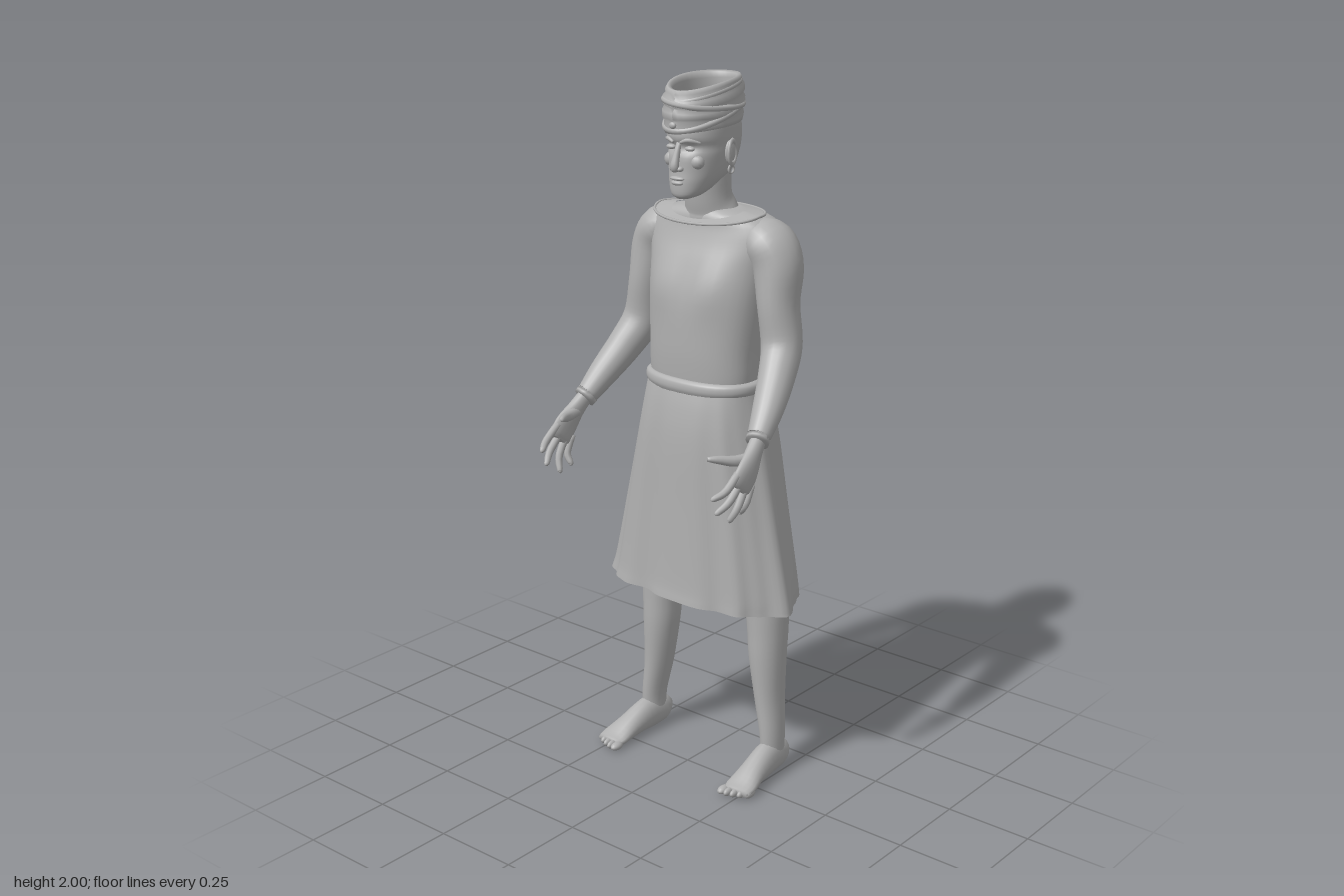
import * as THREE from 'three';

const V = (x, y, z) => new THREE.Vector3(x, y, z);
const bump = (d, w) => Math.exp(-((d / w) ** 2));

// Skin over a stack of closed rings, with optional caps
function skin(rings, capped = true) {
  const n = rings[0].length, pos = [], idx = [];
  rings.forEach(r => r.forEach(p => pos.push(p.x, p.y, p.z)));
  for (let i = 0; i < rings.length - 1; i++) for (let j = 0; j < n; j++) {
    const a = i * n + j, b = i * n + (j + 1) % n;
    idx.push(a, a + n, b, b, a + n, b + n);
  }
  if (capped) [0, rings.length - 1].forEach((k, end) => {
    const c = V(0, 0, 0);
    rings[k].forEach(p => c.addScaledVector(p, 1 / n));
    const ci = pos.length / 3;
    pos.push(c.x, c.y, c.z);
    for (let j = 0; j < n; j++) {
      const a = k * n + j, b = k * n + (j + 1) % n;
      end ? idx.push(ci, b, a) : idx.push(ci, a, b);
    }
  });
  const g = new THREE.BufferGeometry();
  g.setAttribute('position', new THREE.Float32BufferAttribute(pos, 3));
  g.setIndex(idx);
  g.computeVertexNormals();
  return g;
}

// Level rings from rows of [y, half width, front z, back z]
function body(rows, { steps = 24, n = 40, power = 1, rule, capped = true } = {}) {
  const c1 = new THREE.CatmullRomCurve3(rows.map(r => V(r[0], r[1], 0)));
  const c2 = new THREE.CatmullRomCurve3(rows.map(r => V(r[2], r[3], 0)));
  c1.curveType = c2.curveType = 'catmullrom';
  const pw = v => Math.sign(v) * Math.abs(v) ** power;
  const rings = [];
  for (let i = 0; i <= steps; i++) {
    const t = i / steps, a = c1.getPoint(t), b = c2.getPoint(t), ring = [];
    for (let j = 0; j < n; j++) {
      const w = j / n * Math.PI * 2;
      const p = V(a.y * pw(Math.cos(w)), a.x, (b.x + b.y) / 2 + (b.x - b.y) / 2 * pw(Math.sin(w)));
      if (rule) rule(p, t, w);
      ring.push(p);
    }
    rings.push(ring);
  }
  return skin(rings, capped);
}

// Limb along points of [x, y, z, radius along ref, other radius]; side mirrors x
function limb(pts, side = 1, { steps = 20, n = 16, ref = V(1, 0, 0) } = {}) {
  const path = new THREE.CatmullRomCurve3(pts.map(p => V(p[0] * side, p[1], p[2])), false, 'catmullrom');
  const size = new THREE.CatmullRomCurve3(pts.map(p => V(p[3], p[4] ?? p[3], 0)), false, 'catmullrom');
  const rings = [];
  for (let i = 0; i <= steps; i++) {
    const t = i / steps, c = path.getPoint(t), r = size.getPoint(t), T = path.getTangent(t);
    const u = ref.clone().addScaledVector(T, -ref.dot(T)).normalize();
    const v = u.clone().cross(T);
    rings.push(Array.from({ length: n }, (_, j) => {
      const w = j / n * Math.PI * 2;
      return c.clone().addScaledVector(u, r.x * Math.cos(w)).addScaledVector(v, r.y * Math.sin(w));
    }));
  }
  return skin(rings);
}

const blob = (x, y, z, rx, ry, rz) =>
  new THREE.SphereGeometry(1, 14, 10).scale(rx, ry, rz).translate(x, y, z);

export function createModel() {
  const model = new THREE.Group();
  const grey = new THREE.MeshStandardMaterial({ color: 0xb0b0b0, side: THREE.DoubleSide });
  grey.name = 'grey';
  const add = (name, geo) => {
    const m = new THREE.Mesh(geo, grey);
    m.name = name;
    model.add(m);
    return m;
  };

  // Shirt body with chest and spine modelling
  add('torso', body([
    [1.15, .165, .025, -.185], [1.2, .168, .03, -.18], [1.28, .17, .033, -.195], [1.4, .182, .028, -.232],
    [1.5, .195, .003, -.236], [1.56, .21, -.018, -.236], [1.6, .205, -.03, -.23],
    [1.63, .165, -.035, -.208], [1.65, .075, -.045, -.165],
  ], {
    steps: 32, power: .85, rule: (p, t, w) => {
      const fade = bump(p.y - 1.42, .15);
      if (Math.sin(w) < 0) p.z += .022 * bump(p.x, .04) * fade;
      else p.z += .012 * bump(Math.abs(p.x) - .08, .05) * bump(p.y - 1.45, .07);
    },
  }));

  // Loose neckline: thin sheet with a rolled edge
  const neckRing = (rx, zf, zb, lift) => Array.from({ length: 36 }, (_, j) => {
    const w = j / 36 * Math.PI * 2, s = Math.sin(w);
    return V(rx * Math.cos(w), 1.644 + lift - .02 * Math.max(0, s), (zf + zb) / 2 + (zf - zb) / 2 * s);
  });
  add('neckline', skin([neckRing(.172, .016, -.2, -.004), neckRing(.115, -.012, -.17, .003)], false));
  add('necklineEdge', new THREE.TubeGeometry(
    new THREE.CatmullRomCurve3(neckRing(.172, .016, -.2, -.004), true), 60, .004, 6, true));

  // Skirt flaring to a wavy hem
  add('skirt', body([
    [1.175, .172, .03, -.19], [1.1, .188, .046, -.228], [1, .208, .055, -.245],
    [.8, .248, .058, -.25], [.6, .288, .062, -.258], [.54, .3, .066, -.262],
  ], {
    steps: 26, n: 96, power: .8, capped: false, rule: (p, t, w) => {
      const k = t * (.035 * Math.sin(9 * w + .6) + .03 * Math.sin(5 * w + 1) + .015 * Math.sin(16 * w));
      p.x *= 1 + k;
      p.z += (p.z + .1) * k * 1.2;
      p.x -= .012 * t * t;
      p.y -= .012 * t * t * Math.abs(Math.cos(w));
    },
  }));
  add('waistband', body([
    [1.145, .174, .036, -.205], [1.16, .183, .042, -.21], [1.178, .181, .04, -.204], [1.186, .168, .03, -.185],
  ], { steps: 10, power: .85 }));

  for (const s of [1, -1]) {
    const side = s > 0 ? 'left' : 'right';
    // Arms and hands
    add(side + 'Arm', limb([
      [.11, 1.575, -.125, .05, .04], [.175, 1.568, -.125, .08, .064], [.212, 1.51, -.122, .075, .068],
      [.228, 1.41, -.107, .065, .055], [.246, 1.3, -.1, .058, .056], [.268, 1.225, -.05, .052, .05],
      [.292, 1.15, .02, .042, .042], [.309, 1.085, .085, .03, .03],
    ], s, { steps: 32, n: 20, ref: V(0, 0, 1) }));
    add(side + 'Cuff', limb([[.306, 1.095, .075, .032, .035], [.31, 1.083, .088, .031, .034]], s, { steps: 3 }));
    add(side + 'Palm', limb([
      [.309, 1.09, .08, .02, .024], [.316, 1.06, .11, .02, .029], [.324, 1.02, .145, .018, .042],
      [.324, .99, .172, .015, .044], [.322, .978, .182, .009, .036],
    ], s));
    [[1.01, .2, .968, .268], [.988, .184, .925, .252], [.972, .165, .89, .2], [.965, .142, .9, .155]]
      .forEach(([y0, z0, y1, z1], i) => add(side + 'Finger' + (i + 1), limb([
        [.323, y0 + .015, z0 - .015, .011], [.322, y0 * .5 + y1 * .5, z0 * .5 + z1 * .5, .0105],
        [.307, y1 + .006, z1 - .004, .008], [.304, y1, z1, .003],
      ], s, { steps: 10, n: 8 })));
    add(side + 'Thumb', limb([
      [.315, 1.05, .11, .016], [.3, 1.05, .165, .015], [.275, 1.06, .21, .011], [.26, 1.064, .233, .006],
    ], s, { steps: 10, n: 10 }));

    // Legs and feet
    add(side + 'Leg', limb([
      [.1, 1, -.1, .095, .1], [.155, .75, -.115, .085, .085], [.19, .56, -.122, .068, .067],
      [.197, .45, -.122, .059, .062], [.2, .36, -.12, .053, .059], [.21, .23, -.12, .04, .052],
      [.225, .12, -.115, .032, .045], [.226, .04, -.115, .031, .04],
    ], s, { steps: 28, n: 20 }));
    add(side + 'Foot', limb([
      [.222, .035, -.175, .012, .014], [.224, .045, -.155, .03, .04], [.228, .052, -.09, .035, .052],
      [.234, .036, -.01, .039, .036], [.24, .02, .05, .047, .02], [.24, .015, .08, .042, .013],
    ], s, { steps: 18 }));
    for (let i = 0; i < 5; i++)
      add(side + 'Toe' + (i + 1), blob(s * (.204 + i * .0185), .013, .086 - i * i * .0018,
        i ? .0095 : .014, .012, .023));

    // Ears, earrings and paired facial features
    add(side + 'Ear', blob(s * .086, 1.806, -.073, .009, .033, .02).translate(0, 0, 0));
    const rim = add(side + 'EarRim', new THREE.TorusGeometry(.02, .005, 6, 16).scale(1, 1.55, 1));
    rim.position.set(s * .092, 1.806, -.074);
    rim.rotation.y = Math.PI / 2 + s * .2;
    const ring = add(side + 'Earring', new THREE.TorusGeometry(.011, .003, 6, 14));
    ring.position.set(s * .092, 1.762, -.07);
    ring.rotation.y = Math.PI / 2;
    add(side + 'Eye', blob(s * .032, 1.822, .03, .015, .007, .01));
    add(side + 'Brow', limb([[.012, 1.838, .046, .004], [.034, 1.845, .04, .006], [.058, 1.838, .018, .003]], s, { steps: 8, n: 8, ref: V(0, 0, 1) }));
    add(side + 'Nostril', blob(s * .012, 1.768, .046, .009, .007, .01));
    add(side + 'Cheek', blob(s * .043, 1.786, .014, .022, .02, .018));
  }

  // Head and neck
  add('neck', limb([
    [0, 1.61, -.105, .1, .075], [0, 1.645, -.098, .077, .068], [0, 1.68, -.088, .065, .064],
    [0, 1.74, -.083, .063, .066], [0, 1.79, -.08, .06, .06],
  ], 1, { n: 24 }));
  add('head', body([
    [1.686, .018, .034, -.005], [1.698, .042, .044, -.045], [1.73, .062, .046, -.12], [1.76, .073, .043, -.16],
    [1.8, .08, .042, -.178], [1.825, .082, .036, -.184], [1.85, .084, .046, -.186], [1.89, .083, .038, -.18],
    [1.925, .072, .015, -.16], [1.95, .045, -.02, -.12], [1.958, .008, -.06, -.075],
  ], {
    steps: 36, power: .92, rule: p => {
      // Eye sockets
      if (p.z > -.02) p.z -= .008 * bump(Math.abs(p.x) - .032, .018) * bump(p.y - 1.822, .016);
    },
  }));
  add('nose', limb([
    [0, 1.836, .036, .007, .006], [0, 1.805, .046, .009, .01], [0, 1.775, .055, .012, .011],
    [0, 1.763, .05, .01, .008],
  ], 1, { steps: 12, n: 12 }));
  add('upperLip', blob(0, 1.742, .044, .024, .006, .01));
  add('lowerLip', blob(0, 1.73, .043, .02, .007, .011));

  // Wrapped headcloth: lumpy open band, tilted up toward the back
  const profile = [[.86, .02], [.88, 0], [.95, 0], [.98, .014], [.95, .028], [1, .036], [1.01, .052], [.95, .062],
    [1, .07], [.99, .086], [.92, .092], [.93, .106], [.88, .116], [.8, .113], [.76, .1], [.78, .05]];
  const wrap = new THREE.LatheGeometry(profile.map(([r, y]) => new THREE.Vector2(r, y)), 36);
  const wp = wrap.attributes.position;
  for (let i = 0; i < wp.count; i++) {
    const x = wp.getX(i), y = wp.getY(i), z = wp.getZ(i), w = Math.atan2(x, z);
    const wave = .004 * Math.sin(2 * w + y * 40);
    wp.setXYZ(i, x * .094, 1.876 + y + wave - z * .13 * .13, -.067 + z * .13);
  }
  wrap.computeVertexNormals();
  add('headcloth', wrap);
  [[1.905, .088, .122, .3, .02], [1.935, .09, .124, -.03, -.12], [1.965, .081, .114, .2, .1]].forEach(([y, rx, rz, tilt, roll], i) => {
    const pts = Array.from({ length: 24 }, (_, j) => {
      const w = j / 24 * Math.PI * 2, x = rx * Math.cos(w), z = rz * Math.sin(w);
      return V(x, y - z * tilt + x * roll, -.067 + z);
    });
    add('headclothFold' + (i + 1), new THREE.TubeGeometry(new THREE.CatmullRomCurve3(pts, true), 48, .0085, 8, true));
  });
  add('headclothKnot', blob(0, 1.884, .062, .011, .009, .007));

  return model;
}
